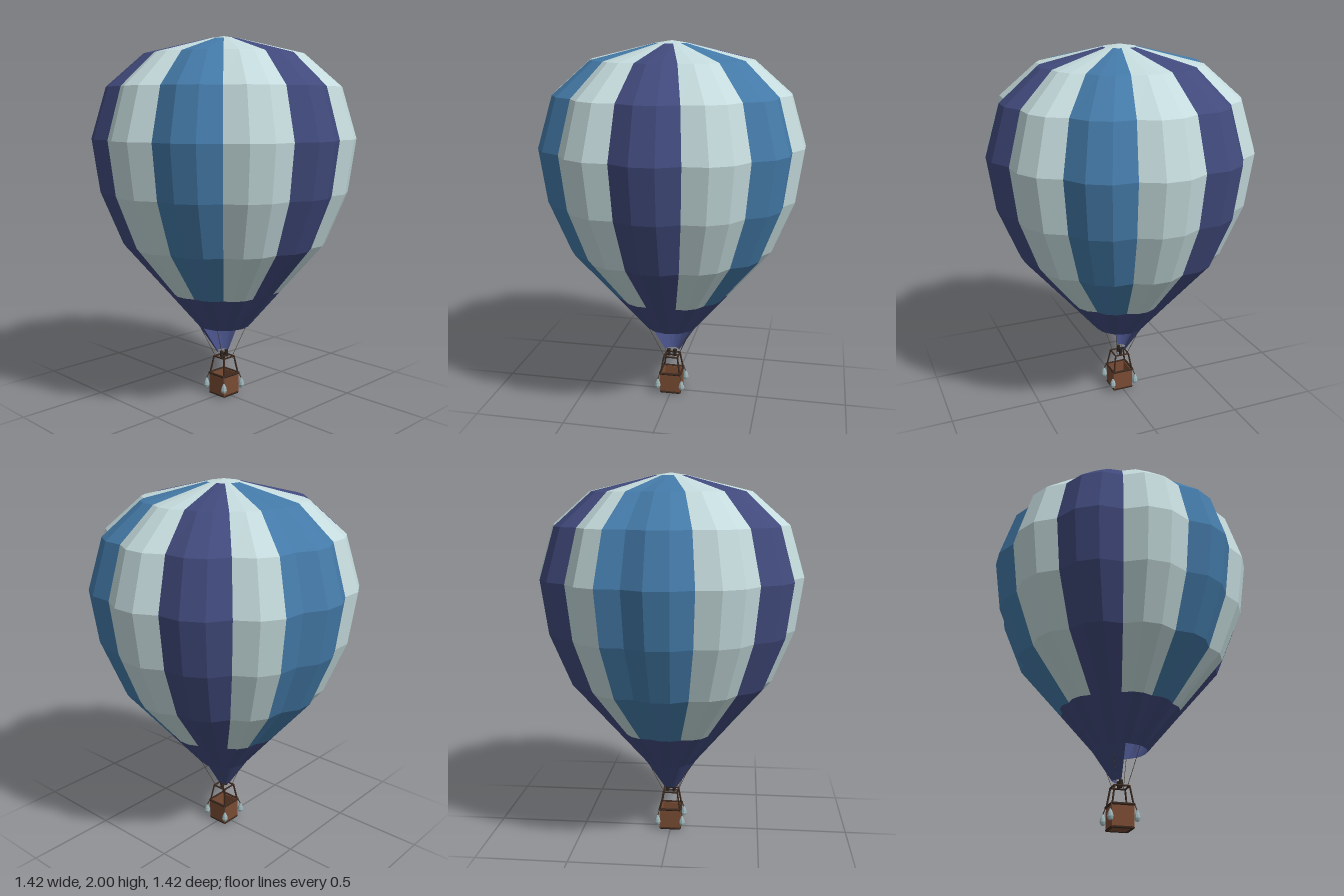
import * as THREE from 'three';

const mat = (name, color, double) => {
  const m = new THREE.MeshStandardMaterial({ color, flatShading: true });
  m.name = name;
  if (double) m.side = THREE.DoubleSide;
  return m;
};

export function createModel() {
  const model = new THREE.Group();
  model.name = 'hotAirBalloon';
  const pale = mat('paleFabric', 0xc4dadc, true);
  const blue = mat('blueFabric', 0x447aa8, true);
  const navy = mat('navyFabric', 0x414a7c, true);
  const wicker = mat('wicker', 0x7a4c34);
  const darkWood = mat('darkWood', 0x3a281e);
  const rope = mat('rope', 0x4a3f36);
  const metal = mat('burnerMetal', 0x2e2622);
  const canvas = mat('bagCanvas', 0x9cb4b8);

  const add = (parent, name, geometry, material, x = 0, y = 0, z = 0) => {
    const mesh = new THREE.Mesh(geometry, material);
    mesh.name = name;
    mesh.position.set(x, y, z);
    parent.add(mesh);
    return mesh;
  };

  // Envelope profile from mouth to crown: [height, ridge radius, seam radius / ridge radius]
  const rows = [
    [0.25, 0.04, 1], [0.41, 0.145, 0.98], [0.62, 0.323, 0.955], [0.893, 0.557, 0.945],
    [1.175, 0.673, 0.945], [1.46, 0.713, 0.945], [1.73, 0.632, 0.945],
    [1.903, 0.433, 0.95], [1.986, 0.088, 0.97], [2.0, 0, 1],
  ];
  // Each gore has three 10-degree columns; every third line is a sunken seam
  const point = (k, row) => {
    const [y, r, seam] = rows[row];
    const a = THREE.MathUtils.degToRad(-15 + 10 * k);
    const radius = k % 3 === 0 ? r * seam : r;
    return [radius * Math.sin(a), y, radius * Math.cos(a)];
  };
  const panel = (name, k0, k1, row0, row1, material) => {
    const pos = [];
    for (let k = k0; k < k1; k++) {
      for (let j = row0; j < row1; j++) {
        const a = point(k, j), b = point(k + 1, j), c = point(k + 1, j + 1), d = point(k, j + 1);
        pos.push(...a, ...b, ...c);
        if (rows[j + 1][1] > 0) pos.push(...a, ...c, ...d);
      }
    }
    const g = new THREE.BufferGeometry();
    g.setAttribute('position', new THREE.Float32BufferAttribute(pos, 3));
    g.computeVertexNormals();
    add(envelope, name, g, material);
  };
  const envelope = new THREE.Group();
  envelope.name = 'envelope';
  model.add(envelope);

  // Twelve striped gores; the rear blue stripe is one column wider on its +x side
  const stripes = [navy, pale, blue, pale, navy, pale, blue, pale, navy, pale, blue, pale];
  stripes.forEach((m, i) => {
    const start = 3 * i - (i === 6 ? 1 : 0);
    const end = 3 * i + 3 - (i === 5 ? 1 : 0);
    panel('gore' + (i + 1), start, end, 2, 8, m);
  });
  panel('crownCap', 0, 36, 8, 9, pale);
  panel('lowerSkirt', 0, 36, 1, 2, navy);
  panel('rearScoop', 11, 28, 0, 1, navy); // open at the front

  // Round bar between two points
  const rod = (parent, name, from, to, radius, material, sides = 6) => {
    const a = new THREE.Vector3(...from), b = new THREE.Vector3(...to);
    const dir = b.clone().sub(a);
    const mesh = add(parent, name, new THREE.CylinderGeometry(radius, radius, dir.length(), sides), material);
    mesh.position.copy(a).add(b).multiplyScalar(0.5);
    mesh.quaternion.setFromUnitVectors(new THREE.Vector3(0, 1, 0), dir.normalize());
  };
  const corners = [[1, 1], [1, -1], [-1, -1], [-1, 1]];
  const square = (parent, name, half, y, radius, material) => corners.forEach(([x, z], i) => {
    const [nx, nz] = corners[(i + 1) % 4];
    rod(parent, name, [x * half, y, z * half], [nx * half, y, nz * half], radius, material);
  });

  // Open wicker basket
  const basket = new THREE.Group();
  basket.name = 'basket';
  model.add(basket);
  add(basket, 'floor', new THREE.BoxGeometry(0.11, 0.012, 0.11), wicker, 0, 0.012, 0);
  for (const s of [-1, 1]) {
    add(basket, 'sideWall', new THREE.BoxGeometry(0.01, 0.115, 0.116), wicker, s * 0.053, 0.064, 0);
    add(basket, 'endWall', new THREE.BoxGeometry(0.116, 0.115, 0.01), wicker, 0, 0.064, s * 0.053);
  }
  square(basket, 'rim', 0.059, 0.122, 0.007, darkWood);
  square(basket, 'baseTrim', 0.055, 0.007, 0.007, darkWood);

  // Sandbags, posts and suspension ropes at the four corners
  const bagShape = [[0, 0.032], [0.012, 0.038], [0.017, 0.052], [0.013, 0.07], [0.005, 0.088], [0, 0.094]]
    .map(([r, y]) => new THREE.Vector2(r, y));
  const bagGeometry = new THREE.LatheGeometry(bagShape, 8);
  for (const [x, z] of corners) {
    add(basket, 'sandbag', bagGeometry, canvas, x * 0.07, 0, z * 0.07);
    rod(basket, 'bagTie', [x * 0.07, 0.09, z * 0.07], [x * 0.059, 0.122, z * 0.059], 0.003, rope, 5);
    rod(basket, 'cornerPost', [x * 0.056, 0.12, z * 0.056], [x * 0.04, 0.22, z * 0.04], 0.005, darkWood);
    rod(model, 'suspensionRope', [x * 0.038, 0.22, z * 0.03], [x * 0.122, 0.412, z * 0.072], 0.0015, rope, 5);
  }

  // Burner frame with twin burners
  const burner = new THREE.Group();
  burner.name = 'burner';
  model.add(burner);
  square(burner, 'burnerFrame', 0.04, 0.22, 0.005, darkWood);
  rod(burner, 'crossBar', [-0.04, 0.22, 0], [0.04, 0.22, 0], 0.005, darkWood);
  for (const s of [-1, 1]) {
    add(burner, 'burnerCan', new THREE.CylinderGeometry(0.011, 0.009, 0.04, 8), metal, s * 0.018, 0.234, 0);
  }
  return model;
}
